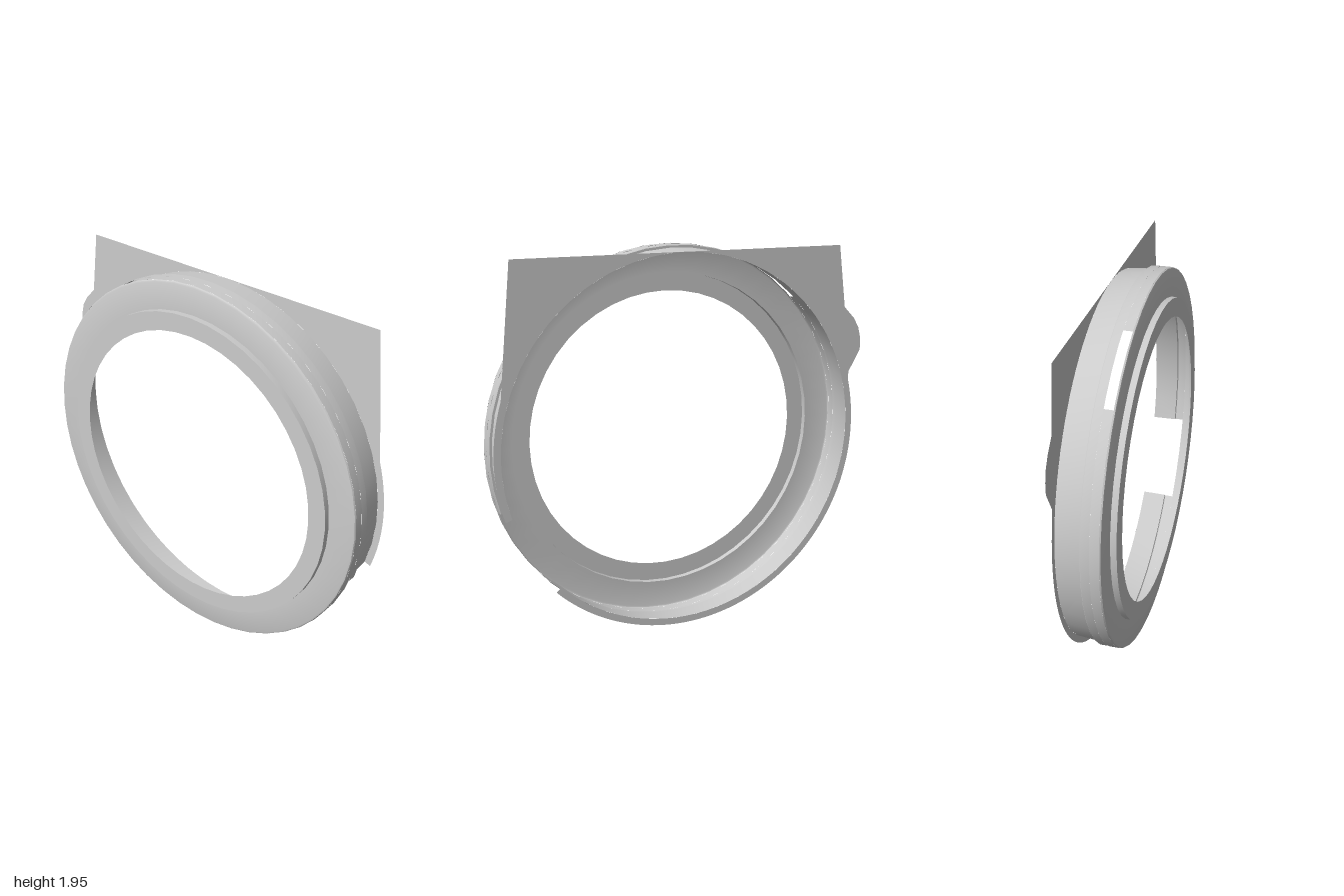
import * as THREE from 'three';
import { toCreasedNormals } from 'three/addons/utils/BufferGeometryUtils.js';

const rad = THREE.MathUtils.degToRad;
const CX = 0.015, CY = 0.985; // ring centre
const GAP = [-45, -17.5];     // side notch, degrees from +x
const SLOT = [113.4, 136.6];  // small slot in the rim

export function createModel() {
  const group = new THREE.Group();
  const material = new THREE.MeshStandardMaterial({ color: 0xcccccc, side: THREE.DoubleSide });

  function add(name, geometry, z = 0) {
    const mesh = new THREE.Mesh(geometry, material);
    mesh.name = name;
    mesh.position.set(CX, CY, z);
    group.add(mesh);
  }

  // Sheet turned around the z axis; profile points are [radius, z], listed back to front
  function turned(name, profile, from, to) {
    const points = profile.map(([r, z]) => new THREE.Vector2(r, z));
    const segments = Math.round((to - from) / 7.5);
    const geometry = new THREE.LatheGeometry(points, segments, rad(from + 90), rad(to - from));
    geometry.rotateX(Math.PI / 2);
    add(name, toCreasedNormals(geometry, rad(30)));
  }

  // Front face with raised inner lip
  turned('frontFace',
    [[0.97, 0.09], [0.967, 0.097], [0.96, 0.1], [0.825, 0.1], [0.825, 0.13], [0.73, 0.13]], 0, 360);

  // Rim wall, open at the slot
  turned('slottedRim', [[0.97, 0.045], [0.97, 0.09]], SLOT[1], SLOT[0] + 360);

  // Rear wall with its step, open at the notch
  turned('rearWall',
    [[0.945, -0.122], [0.955, 0], [0.967, 0], [0.97, 0.003], [0.97, 0.045]], GAP[1], GAP[0] + 360);

  // Thin back plate: flange with square top corners and a side tab
  const outer = 0.979, inner = 0.944;
  const plate = new THREE.Shape();
  plate.absarc(0, 0, outer, rad(GAP[1]), rad(17.6), false);
  const edge = [[0.885, 1.93], [-0.855, 1.93], [-0.897, 1.61], [-0.955, 1.55], [-0.985, 1.5],
    [-1, 1.44], [-1, 1.38], [-0.935, 1.265]];
  edge.forEach(([x, y]) => plate.lineTo(x - CX, y - CY));
  plate.absarc(0, 0, outer, rad(166), rad(GAP[0] + 360), false);
  plate.absarc(0, 0, inner, rad(GAP[0] + 360), rad(GAP[1]), true);
  plate.closePath();
  add('backPlate', new THREE.ShapeGeometry(plate, 44), -0.122);

  return group;
}
